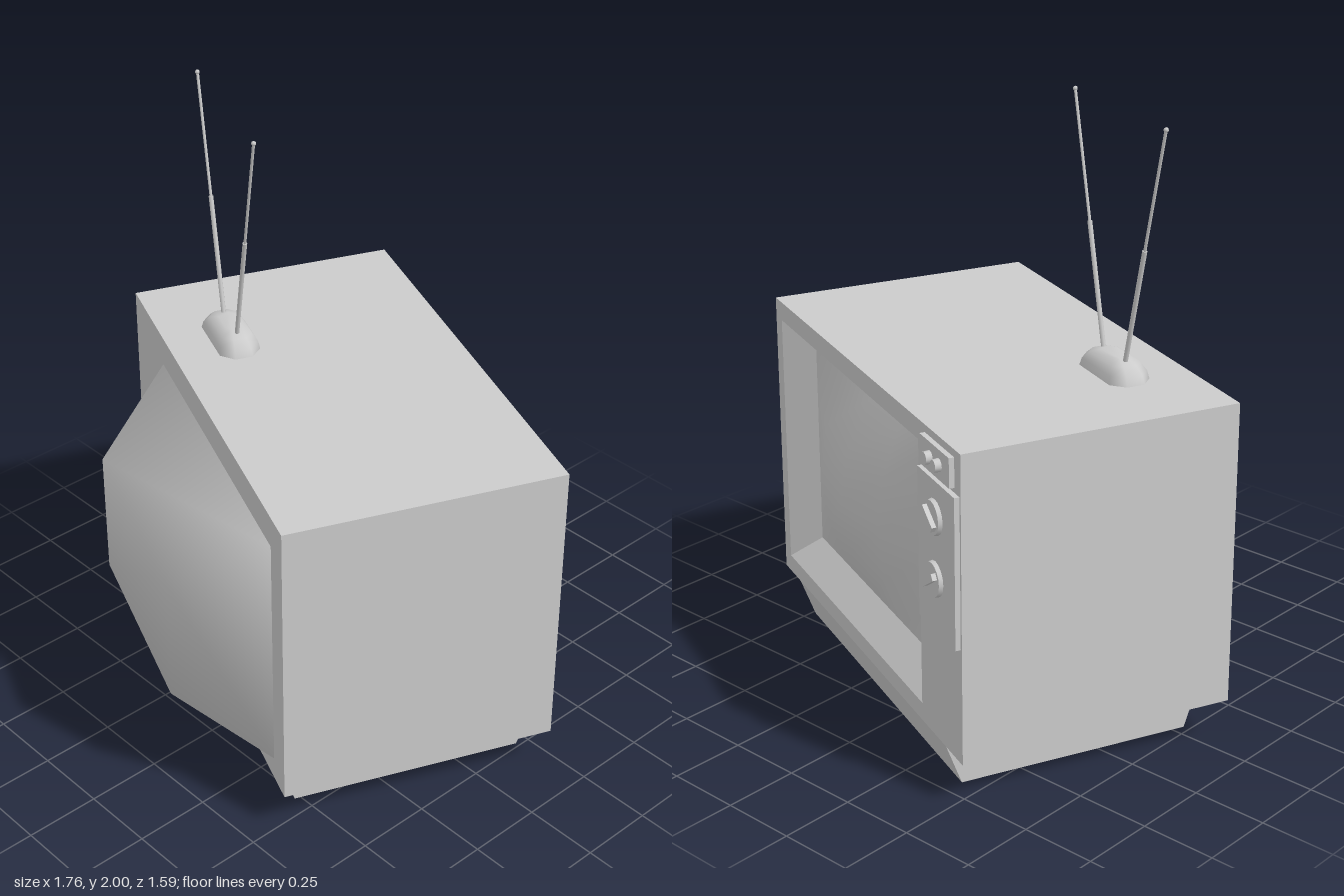
import * as THREE from 'three';

const grey = new THREE.MeshStandardMaterial({ color: 0xcccccc, side: THREE.DoubleSide });

function add(parent, name, geometry, x = 0, y = 0, z = 0) {
  const mesh = new THREE.Mesh(geometry, grey);
  mesh.name = name;
  mesh.position.set(x, y, z);
  parent.add(mesh);
  return mesh;
}

// Counter-clockwise rectangle as a list of [x, y]
const rect = (x0, x1, y0, y1) => [[x0, y0], [x1, y0], [x1, y1], [x0, y1]];

// Skin between cross-sections { points, z }, with an optional cap on the last one
function loft(sections, { cap = false, smooth = false } = {}) {
  const n = sections[0].points.length;
  const positions = sections.flatMap(s => s.points.flatMap(([x, y]) => [x, y, s.z]));
  const index = [];
  for (let k = 0; k < sections.length - 1; k++) {
    for (let i = 0; i < n; i++) {
      const a = k * n + i, b = k * n + (i + 1) % n;
      index.push(a, b, b + n, a, b + n, a + n);
    }
  }
  const last = (sections.length - 1) * n;
  if (cap) for (let i = 1; i < n - 1; i++) index.push(last, last + i, last + i + 1);
  let geometry = new THREE.BufferGeometry();
  geometry.setAttribute('position', new THREE.Float32BufferAttribute(positions, 3));
  geometry.setIndex(index);
  if (!smooth) geometry = geometry.toNonIndexed();
  geometry.computeVertexNormals();
  return geometry;
}

// Flat rectangular panel with an optional rectangular opening
function panel(outer, hole) {
  const toPoints = list => list.map(([x, y]) => new THREE.Vector2(x, y));
  const shape = new THREE.Shape(toPoints(outer));
  if (hole) shape.holes.push(new THREE.Path(toPoints(hole)));
  return new THREE.ShapeGeometry(shape);
}

// Cabinet measures, in the set's own frame with the screen facing +z
const W = 0.7625, D = 0.46, Y0 = 0.145, Y1 = 1.155;

function cabinet() {
  const g = new THREE.Group();
  g.name = 'cabinet';
  const opening = rect(-0.71, 0.46, 0.205, 1.09);
  const face = rect(-W, W, Y0, Y1);
  add(g, 'frontPanel', panel(face, opening), 0, 0, D);
  add(g, 'backPanel', panel(face, rect(-0.443, 0.665, 0.225, 1.05)).rotateY(Math.PI), 0, 0, -D);
  add(g, 'topPanel', panel(rect(-W, W, -D, D)).rotateX(-Math.PI / 2), 0, Y1, 0);
  for (const s of [-1, 1]) {
    add(g, 'sidePanel', panel(rect(-D, D, Y0, Y1)).rotateY(s * Math.PI / 2), s * W, 0, 0);
  }
  // Underside is open above the hollow plinth
  add(g, 'underside', panel(rect(-W, W, -D, D), rect(-0.63, 0.63, -0.43, 0.457)).rotateX(Math.PI / 2), 0, Y0, 0);
  add(g, 'plinth', loft([
    { points: rect(-0.63, 0.63, -0.404, 0.38), z: 0 },
    { points: rect(-0.63, 0.63, -0.458, 0.43), z: Y0 },
  ]).rotateX(-Math.PI / 2));

  // Sloping surround and bulging screen
  add(g, 'screenSurround', loft([
    { points: opening, z: D },
    { points: rect(-0.612, 0.362, 0.3, 1.0), z: 0.375 },
  ]));
  const screen = new THREE.PlaneGeometry(0.974, 0.7, 4, 4);
  const p = screen.attributes.position;
  for (let i = 0; i < p.count; i++) {
    const u = p.getX(i) / 0.487, v = p.getY(i) / 0.35;
    p.setZ(i, 0.115 * (1 - u * u) * (1 - v * v));
  }
  screen.computeVertexNormals();
  add(g, 'screen', screen, -0.125, 0.65, 0.375);

  // Tapered tube housing on the back
  add(g, 'tubeHousing', loft([
    { points: rect(-0.443, 0.665, 0.225, 1.05), z: D },
    { points: rect(-0.25, 0.475, 0.42, 0.85), z: 0.735 },
  ], { cap: true, smooth: true }).rotateY(Math.PI));
  return g;
}

function controls() {
  const g = new THREE.Group();
  g.name = 'controls';
  add(g, 'dialPlate', new THREE.BoxGeometry(0.265, 0.49, 0.03), 0.622, 0.775, 0.462);
  add(g, 'buttonPlate', new THREE.BoxGeometry(0.21, 0.095, 0.03), 0.615, 1.083, 0.462);
  // Two dials, each with a turned grip
  for (const [y, angle] of [[0.905, -0.6], [0.705, 0.6]]) {
    add(g, 'dial', new THREE.CylinderGeometry(0.054, 0.057, 0.014, 16).rotateX(Math.PI / 2), 0.615, y, 0.483);
    add(g, 'dialGrip', new THREE.BoxGeometry(0.085, 0.022, 0.018), 0.615, y, 0.496).rotation.z = angle;
  }
  for (const x of [0.585, 0.65]) {
    add(g, 'smallKnob', new THREE.CylinderGeometry(0.019, 0.021, 0.022, 12).rotateX(Math.PI / 2), x, 1.083, 0.486);
  }
  return g;
}

function antenna() {
  const g = new THREE.Group();
  g.name = 'antenna';
  // Low domed foot from a stretched octagon
  const octagon = [[0.142, -0.03], [0.142, 0.03], [0.1, 0.07], [-0.1, 0.07],
    [-0.142, 0.03], [-0.142, -0.03], [-0.1, -0.07], [0.1, -0.07]];
  const layers = [[0, 1], [0.025, 0.93], [0.05, 0.72], [0.064, 0.4]];
  add(g, 'antennaFoot', loft(
    layers.map(([z, s]) => ({ points: octagon.map(([x, y]) => [x * s, y * s]), z })),
    { cap: true, smooth: true },
  ).rotateX(-Math.PI / 2));

  // Splayed telescopic rods with ball tips
  const up = new THREE.Vector3(0, 1, 0);
  for (const s of [-1, 1]) {
    const from = new THREE.Vector3(s * 0.068, 0.045, 0);
    const to = new THREE.Vector3(s * 0.285, 0.838, 0);
    const rod = new THREE.Group();
    rod.name = 'antennaRod';
    rod.position.copy(from);
    rod.quaternion.setFromUnitVectors(up, to.clone().sub(from).normalize());
    const length = from.distanceTo(to);
    add(rod, 'rodJoint', new THREE.SphereGeometry(0.017, 10, 8));
    add(rod, 'lowerRod', new THREE.CylinderGeometry(0.008, 0.008, length / 2, 8), 0, length / 4, 0);
    add(rod, 'upperRod', new THREE.CylinderGeometry(0.005, 0.005, length / 2, 8), 0, length * 0.75, 0);
    add(rod, 'rodTip', new THREE.SphereGeometry(0.008, 8, 6), 0, length - 0.003, 0);
    g.add(rod);
  }
  g.position.set(0.363, Y1, -0.246);
  return g;
}

export function createModel() {
  const model = new THREE.Group();
  model.name = 'television';
  const set = new THREE.Group();
  set.name = 'televisionSet';
  set.add(cabinet(), controls(), antenna());
  // The set stands turned, with its screen towards the back
  set.rotation.y = THREE.MathUtils.degToRad(157.65);
  set.position.z = -0.072;
  model.add(set);
  return model;
}
